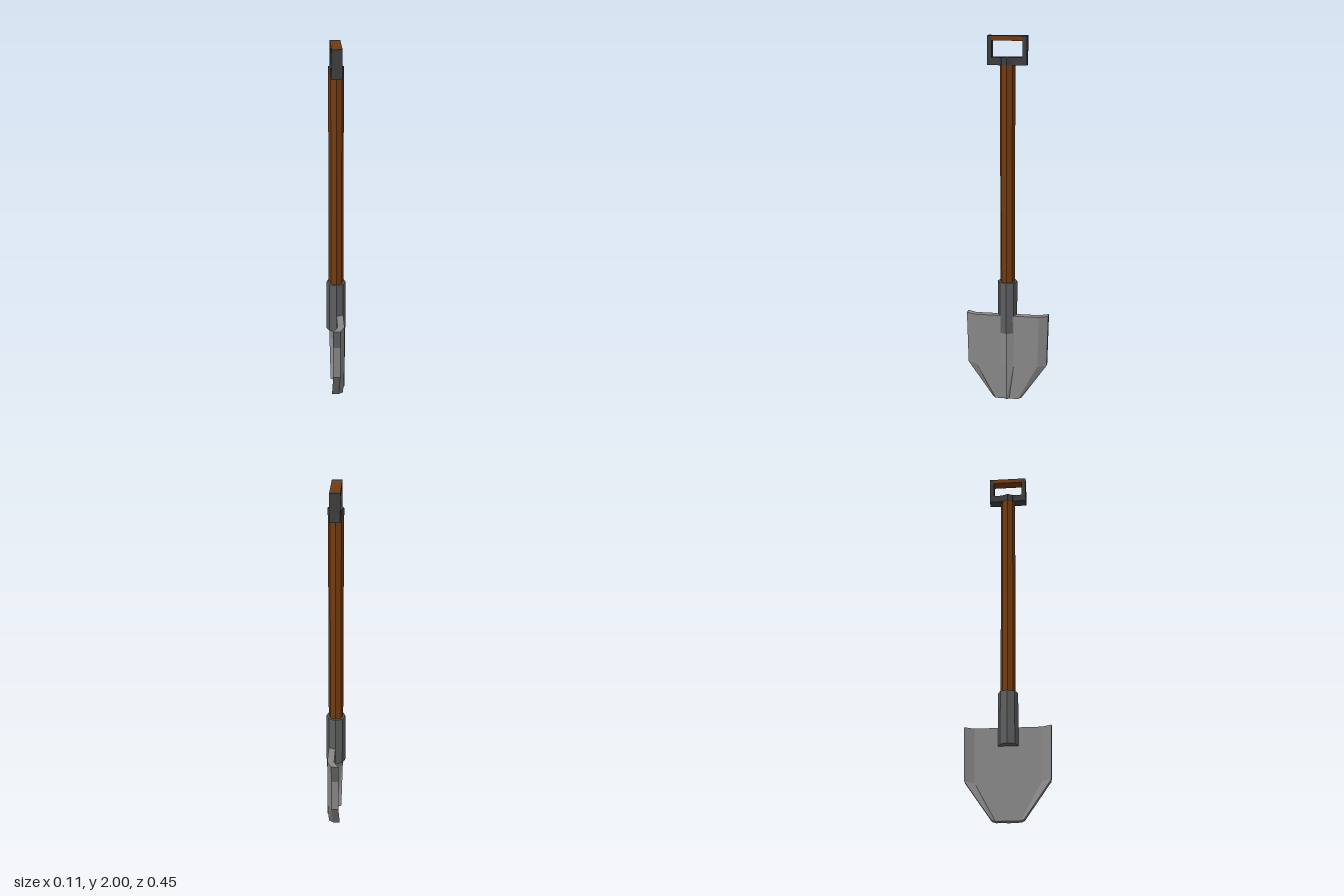
import * as THREE from 'three';

const mat = (name, color) => {
  const m = new THREE.MeshStandardMaterial({ color, flatShading: true });
  m.name = name;
  return m;
};

// Folded plate: one cross-section, narrowed at each height
function bladeGeometry() {
  const front = [[0.012, 0.226], [0.037, 0.176], [0.037, 0.04], [0.05, 0],
    [0.037, -0.04], [0.037, -0.176], [0.012, -0.226]];
  const back = [[-0.027, -0.226], [0, -0.176], [0, 0.176], [-0.027, 0.226]];
  const ring = [...front, ...back];
  const rows = [[0, 0.36], [0.2, 0.97], [0.39, 0.99], [0.49, 1]];
  const steel = [], edge = [];
  const point = (row, i) => {
    const [x, z] = ring[i % ring.length];
    return [x, rows[row][0], z * rows[row][1]];
  };

  // Walls; the upper outer edges are dark
  for (let r = 0; r < rows.length - 1; r++) {
    for (let i = 0; i < ring.length; i++) {
      const isEnd = i === front.length - 1 || i === ring.length - 1;
      const out = isEnd && r === rows.length - 2 ? edge : steel;
      const a = point(r, i), b = point(r, i + 1), c = point(r + 1, i + 1), d = point(r + 1, i);
      out.push(...a, ...b, ...c, ...a, ...c, ...d);
    }
  }

  // Top and bottom ends
  const outline = ring.map(([x, z]) => new THREE.Vector2(x, -z));
  for (const [a, b, c] of THREE.ShapeUtils.triangulateShape(outline, [])) {
    const top = rows.length - 1;
    steel.push(...point(top, a), ...point(top, b), ...point(top, c));
    steel.push(...point(0, a), ...point(0, c), ...point(0, b));
  }

  const geo = new THREE.BufferGeometry();
  geo.setAttribute('position', new THREE.Float32BufferAttribute([...steel, ...edge], 3));
  geo.addGroup(0, steel.length / 3, 0);
  geo.addGroup(steel.length / 3, edge.length / 3, 1);
  geo.computeVertexNormals();
  return geo;
}

export function createModel() {
  const model = new THREE.Group();
  model.name = 'shovel';
  const wood = mat('brown wood', 0x733b0f);
  const steel = mat('light steel', 0x888888);
  const socketSteel = mat('dark steel', 0x5c5e60);
  const yokeMetal = mat('charcoal metal', 0x3e3e3e);

  const add = (name, geo, material, x = 0, y = 0, z = 0) => {
    const mesh = new THREE.Mesh(geo, material);
    mesh.name = name;
    mesh.position.set(x, y, z);
    model.add(mesh);
    return mesh;
  };
  // Eight-sided rod between two heights
  const rod = (name, radius, y0, y1, material) =>
    add(name, new THREE.CylinderGeometry(radius, radius, y1 - y0, 8), material, 0, (y0 + y1) / 2);

  // Blade, socket and shaft
  add('blade', bladeGeometry(), [steel, socketSteel]);
  rod('socket', 0.053, 0.39, 0.68, socketSteel);
  rod('shaft', 0.04, 0.66, 1.855, wood);

  // Handle: collar, crossbar, two uprights and a wooden grip
  rod('collar', 0.041, 1.85, 1.89, yokeMetal);
  add('yokeBase', new THREE.BoxGeometry(0.054, 0.04, 0.16), yokeMetal, 0, 1.87, 0);
  for (const side of [-1, 1]) {
    add('yokeArm', new THREE.BoxGeometry(0.054, 0.15, 0.023), yokeMetal, 0, 1.925, side * 0.0915);
  }
  add('grip', new THREE.BoxGeometry(0.054, 0.025, 0.16), wood, 0, 1.9875, 0);

  return model;
}
